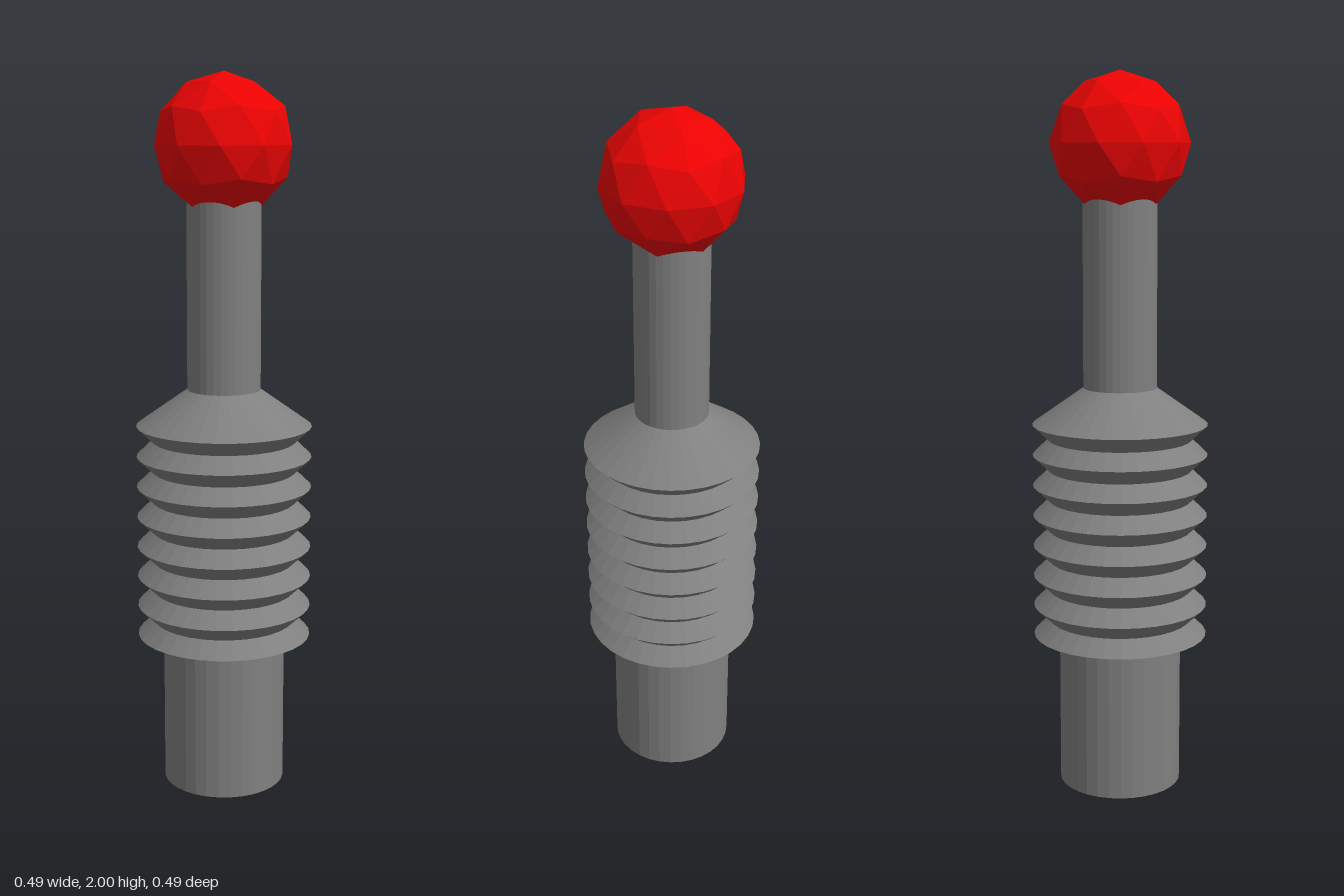
import * as THREE from 'three';

const SIDES = 32;

export function createModel() {
  const group = new THREE.Group();
  const grey = new THREE.MeshStandardMaterial({ color: 0x808080, flatShading: true });
  const red = new THREE.MeshStandardMaterial({ color: 0xec0303, flatShading: true });

  const add = (name, geometry, material) => {
    const mesh = new THREE.Mesh(geometry, material);
    mesh.name = name;
    group.add(mesh);
  };
  const cylinder = (radius, bottom, top) =>
    new THREE.CylinderGeometry(radius, radius, top - bottom, SIDES).translate(0, (bottom + top) / 2, 0);

  // Mounting base and lever shaft
  add('base', cylinder(0.172, 0, 0.46), grey);
  add('shaft', cylinder(0.102, 1.1, 1.7), grey);

  // Pleated boot: sharp ridges with valleys between, tapering to the shaft
  const ridges = 8, bottom = 0.435, top = 1.04;
  const pitch = (top - bottom) / (ridges - 1);
  const profile = [new THREE.Vector2(0.165, bottom)];
  for (let i = 0; i < ridges; i++) {
    const y = bottom + i * pitch;
    profile.push(new THREE.Vector2(0.245, y));
    if (i < ridges - 1) profile.push(new THREE.Vector2(0.2, y + pitch / 2));
  }
  profile.push(new THREE.Vector2(0.1, 1.143));
  add('bellows', new THREE.LatheGeometry(profile, SIDES), grey);

  // Faceted ball knob, turned so one corner points straight up
  const golden = (1 + Math.sqrt(5)) / 2;
  const knob = new THREE.IcosahedronGeometry(0.192, 1)
    .rotateZ(-Math.atan(1 / golden))
    .translate(0, 1.808, 0);
  add('knob', knob, red);

  return group;
}
